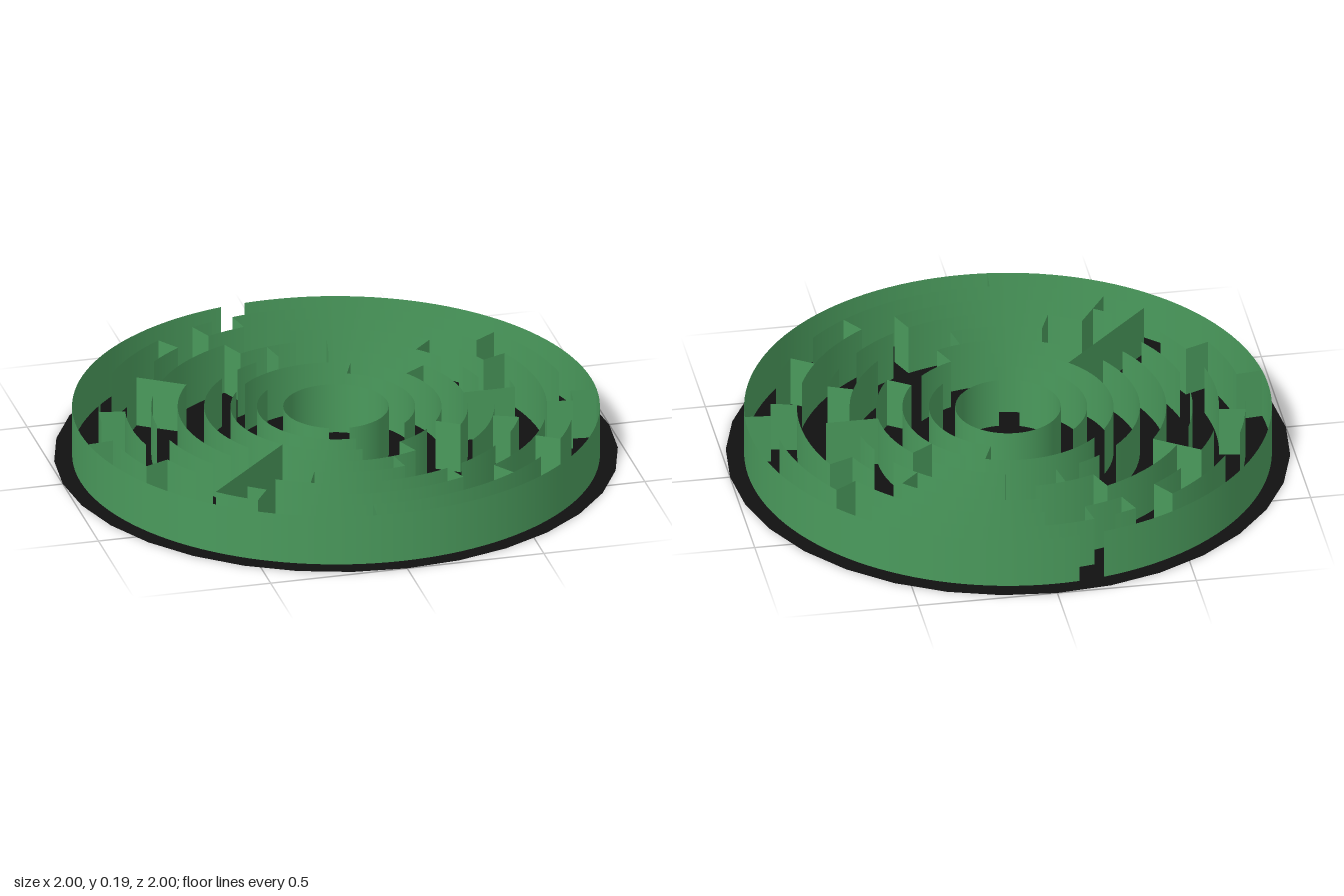
import * as THREE from 'three';

const STEP = 0.0935;          // spacing between rings
const HEIGHT = 0.187;         // wall height
const UNIT = Math.PI / 32;    // 64 angular cells, clockwise from the back

// Curved walls: ring number -> [start cell, end cell]
const ARCS = {
  2: [[-28, 32]],
  3: [[4, 24], [32, 56]],
  4: [[-8, 4], [6, 22], [24, 28], [32, 54]],
  5: [[2, 8], [10, 16], [18, 22], [28, 38], [42, 56], [58, 60]],
  6: [[2, 10], [12, 14], [18, 24], [30, 36], [42, 54], [60, 62], [62, 64]],
  7: [[0, 8], [10, 12], [15, 16], [20, 22], [24, 27], [28, 32], [34, 38], [42, 46], [48, 52], [54, 60]],
  8: [[0, 10], [12, 18], [20, 26], [28, 36], [38, 39], [42, 44], [46, 50], [52, 54], [56, 58], [60, 62]],
  9: [[-2, 8], [10, 15], [17, 18], [20, 22], [24, 36], [38, 40], [44, 47], [49, 52], [54, 58], [60, 61]],
  10: [[-1, 62]],
};

// Straight walls: [cell, inner ring, outer ring]
const SPOKES = [
  [33, 9, 10], [47, 9, 10], [17, 9, 10],
  [62, 8, 9], [60, 8, 9], [58, 8, 9], [10, 8, 9], [18, 8, 9], [22, 8, 9],
  [26, 8, 9], [44, 8, 9], [50, 8, 9], [38, 7, 9],
  [54, 7, 8], [28, 7, 8], [12, 7, 8],
  [54, 6, 7], [60, 6, 7], [8, 6, 7], [20, 6, 7], [36, 6, 7],
  [62, 5, 6], [2, 5, 6], [30, 5, 6], [16, 5, 7],
  [10, 4, 5], [22, 4, 5], [28, 4, 5], [4, 3, 4], [40, 4, 9],
];

export function createModel() {
  const model = new THREE.Group();
  const green = new THREE.MeshStandardMaterial({ color: 0x4a9a5c, side: THREE.DoubleSide });
  const black = new THREE.MeshStandardMaterial({ color: 0x111111, side: THREE.DoubleSide });

  // Flat floor disc
  const floor = new THREE.Mesh(new THREE.CircleGeometry(1, 32), black);
  floor.name = 'floor';
  floor.rotation.x = -Math.PI / 2;
  model.add(floor);

  // Concentric curved walls with openings
  for (const [ring, spans] of Object.entries(ARCS)) {
    const group = new THREE.Group();
    group.name = `ringWall${ring}`;
    for (const [a, b] of spans) {
      const r = ring * STEP;
      const geo = new THREE.CylinderGeometry(r, r, HEIGHT, (b - a) * 2, 1, true,
        Math.PI - b * UNIT, (b - a) * UNIT);
      const wall = new THREE.Mesh(geo, green);
      wall.name = 'curvedWall';
      wall.position.y = HEIGHT / 2;
      group.add(wall);
    }
    model.add(group);
  }

  // Straight dividing walls
  const spokes = new THREE.Group();
  spokes.name = 'radialWalls';
  for (const [cell, inner, outer] of SPOKES) {
    const a = cell * UNIT;
    const mid = (inner + outer) / 2 * STEP;
    const wall = new THREE.Mesh(new THREE.PlaneGeometry((outer - inner) * STEP, HEIGHT), green);
    wall.name = 'radialWall';
    wall.position.set(mid * Math.sin(a), HEIGHT / 2, -mid * Math.cos(a));
    wall.rotation.y = Math.PI / 2 - a;
    spokes.add(wall);
  }
  model.add(spokes);
  return model;
}
